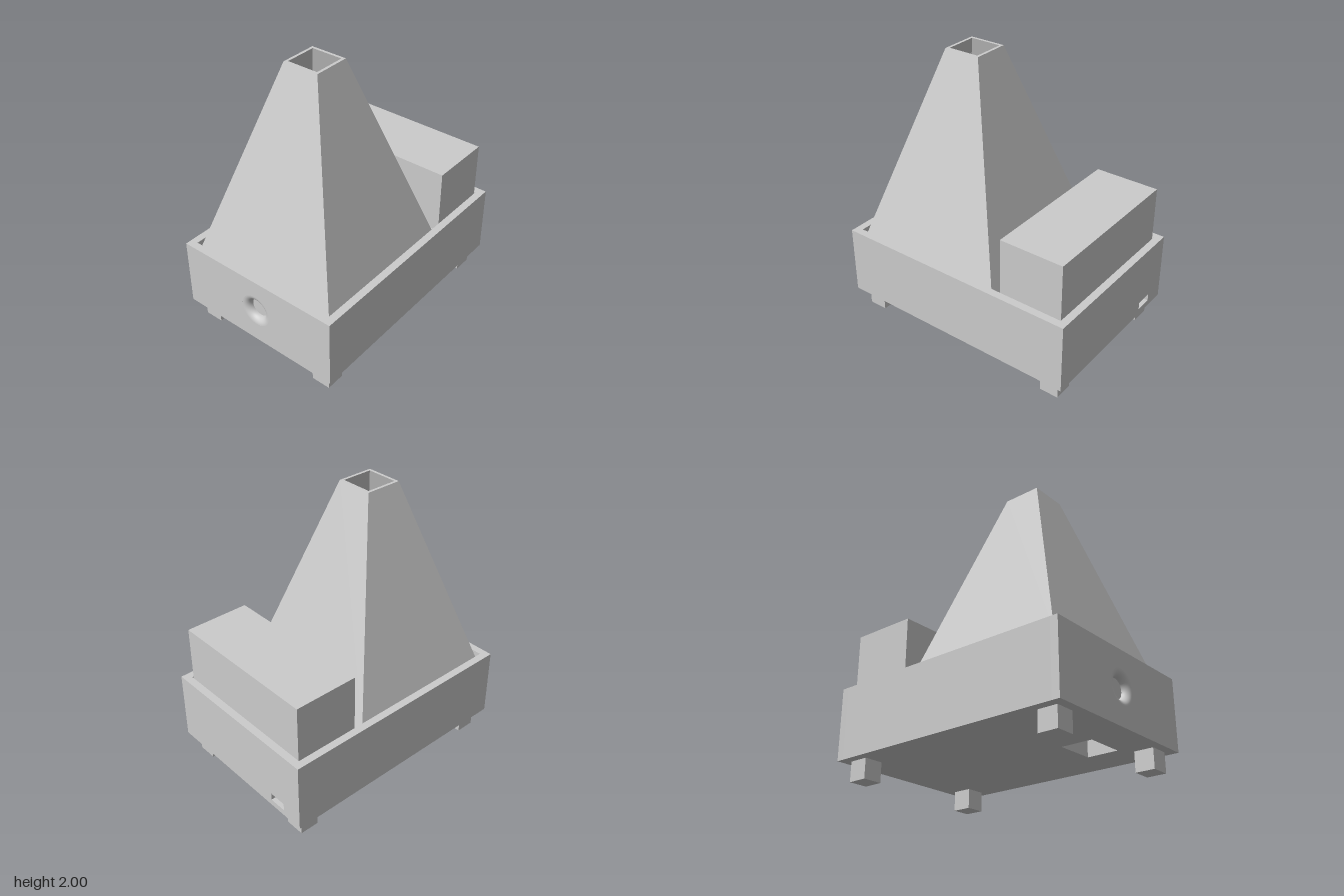
import * as THREE from 'three';

const W = 1.28, D = 1.83, WALL = 0.055;   // base footprint and wall
const Y0 = 0.14, Y1 = 0.65, DECK = 0.57;  // base bottom, rim, recessed deck

const grey = new THREE.MeshStandardMaterial({ color: 0xcccccc });
const flat = new THREE.MeshStandardMaterial({ color: 0xcccccc, flatShading: true });
const red = new THREE.MeshStandardMaterial({ color: 0xcc2222 });

function add(parent, name, geometry, material = grey) {
  const mesh = new THREE.Mesh(geometry, material);
  mesh.name = name;
  parent.add(mesh);
  return mesh;
}

// Box given by its two extreme corners
function block(parent, name, [x0, y0, z0], [x1, y1, z1]) {
  const mesh = add(parent, name, new THREE.BoxGeometry(x1 - x0, y1 - y0, z1 - z0));
  mesh.position.set((x0 + x1) / 2, (y0 + y1) / 2, (z0 + z1) / 2);
  return mesh;
}

function rect(Type, x0, y0, x1, y1) {
  const s = new Type();
  s.moveTo(x0, y0).lineTo(x1, y0).lineTo(x1, y1).lineTo(x0, y1).closePath();
  return s;
}

function panel(shape, hole, depth) {
  shape.holes.push(hole);
  return new THREE.ExtrudeGeometry(shape, { depth, bevelEnabled: false, curveSegments: 32 });
}

function lathe(points, segments, phi = 0) {
  return new THREE.LatheGeometry(points.map(([r, y]) => new THREE.Vector2(r, y)), segments, phi);
}

function createBase() {
  const base = new THREE.Group();
  base.name = 'base';
  const hx = W / 2, hz = D / 2, ix = hx - WALL, iz = hz - WALL;

  // Front wall with a round opening
  const opening = new THREE.Path().absarc(0, 0.4, 0.12, 0, Math.PI * 2, true);
  add(base, 'frontWall', panel(rect(THREE.Shape, -hx, Y0, hx, Y1), opening, WALL)).position.z = iz;

  // Rounded lip running into the opening, closed by a flat disc
  const lip = [];
  for (let i = 0; i <= 10; i++) {
    const t = (i / 10) * Math.PI / 2;
    lip.push([0.12 - 0.05 * Math.sin(t), -0.05 * (1 - Math.cos(t))]);
  }
  const lipMesh = add(base, 'openingLip', lathe(lip, 48));
  lipMesh.rotation.x = Math.PI / 2;
  lipMesh.position.set(0, 0.4, hz);
  add(base, 'openingDisc', new THREE.CircleGeometry(0.07, 48)).position.set(0, 0.4, hz - 0.05);

  // Back wall with a small cable slot
  const slot = rect(THREE.Path, -0.48, 0.185, -0.35, 0.24);
  add(base, 'backWall', panel(rect(THREE.Shape, -hx, Y0, hx, Y1), slot, WALL)).position.z = -hz;

  for (const s of [-1, 1]) {
    const wall = block(base, 'sideWall', [ix, Y0, -iz], [hx, Y1, iz]);
    wall.position.x *= s;
  }

  // Floor block with a rectangular pocket from below, and the deck above it
  const pocket = rect(THREE.Path, 0.06, -0.64, 0.35, -0.41);
  const floor = add(base, 'floor', panel(rect(THREE.Shape, -ix, -iz, ix, iz), pocket, 0.25));
  floor.rotation.x = -Math.PI / 2;
  floor.position.y = Y0;
  block(base, 'deck', [-ix, Y0 + 0.25, -iz], [ix, DECK, iz]);
  return base;
}

export function createModel() {
  const model = new THREE.Group();
  model.name = 'model';
  model.add(createBase());

  // Four square feet
  for (const x of [-0.505, 0.505]) {
    for (const z of [-0.78, 0.78]) {
      add(model, 'foot', new THREE.BoxGeometry(0.14, Y0, 0.14)).position.set(x, Y0 / 2, z);
    }
  }

  // Box at the back
  block(model, 'rearBox', [-0.575, DECK, -0.855], [0.575, 1.05, -0.38]);

  // Hollow four-sided chimney, open at the top
  const k = Math.SQRT2;
  const chimney = add(model, 'chimney', lathe(
    [[0.585 * k, DECK], [0.135 * k, 2], [0.115 * k, 2], [0.56 * k, DECK]], 4, Math.PI / 4), flat);
  chimney.position.z = 0.265;

  // Round nozzle on the deck inside the chimney
  const nozzle = new THREE.Group();
  nozzle.name = 'nozzle';
  nozzle.position.set(0, DECK, 0.265);
  for (const [r, inner, h] of [[0.075, 0.06, 0.03], [0.03, 0.018, 0.05]]) {
    add(nozzle, 'nozzleRing', lathe([[r, 0], [r, h], [inner, h], [inner, 0]], 32), flat);
  }
  add(nozzle, 'nozzleTip', new THREE.CylinderGeometry(0.009, 0.009, 0.04, 16), red).position.y = 0.02;
  model.add(nozzle);

  return model;
}
